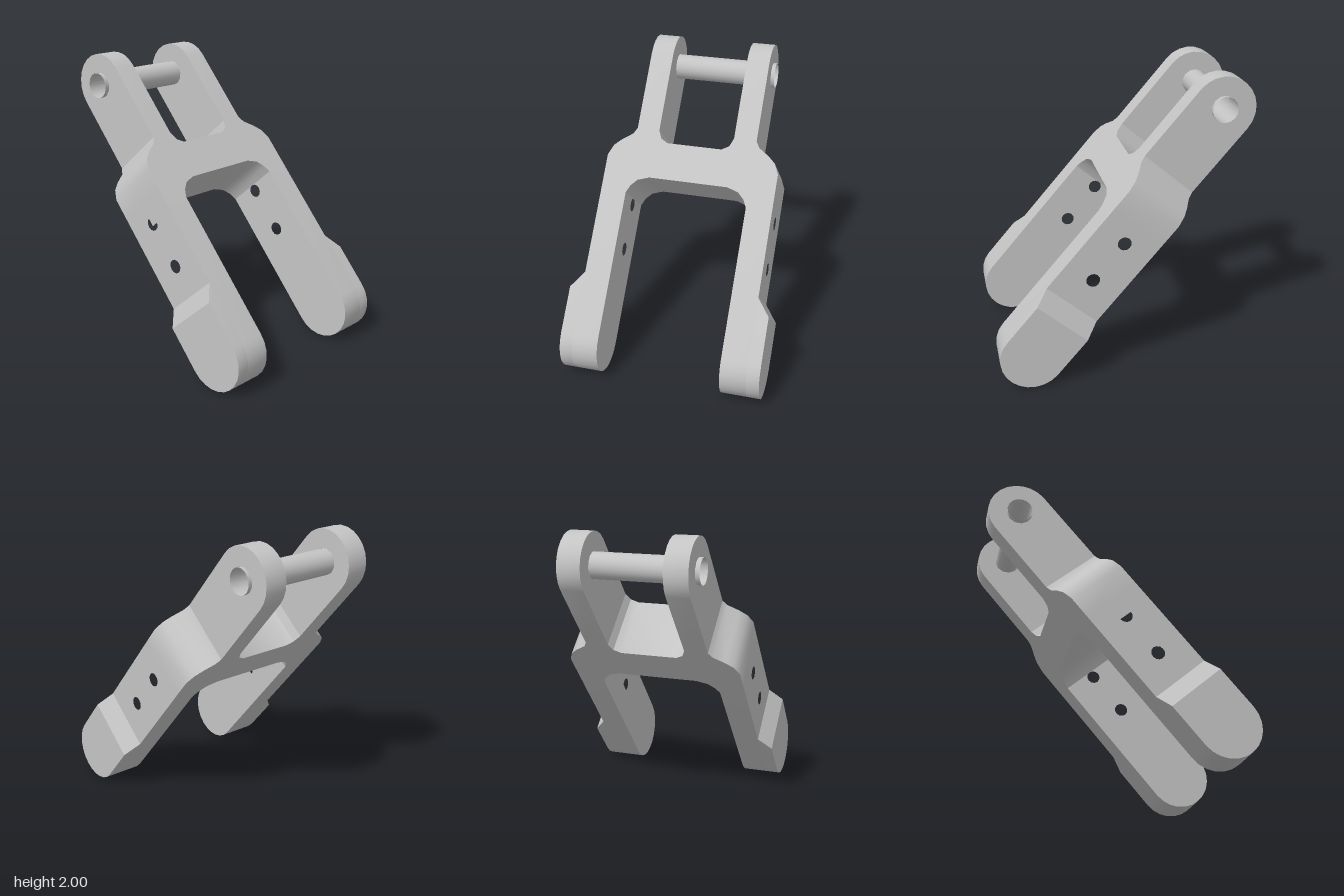
import * as THREE from 'three';
import { toCreasedNormals } from 'three/addons/utils/BufferGeometryUtils.js';

const H = 0.218;      // half thickness and end radius
const END = 1.031;    // distance from the middle to each rounded end's centre
const metal = new THREE.MeshStandardMaterial({ name: 'lightGrey', color: 0xc4c4c4 });
const tubeMetal = metal.clone();
tubeMetal.side = THREE.DoubleSide;

// Upright plate between two x values: flat at one end, round at the other
function plate(x0, x1, flat, end, holes = []) {
  const s = new THREE.Shape();
  s.moveTo(-H, flat);
  s.lineTo(H, flat);
  s.absarc(0, end, H, 0, Math.PI, end < flat);
  s.closePath();
  for (const [y, r] of holes) {
    const hole = new THREE.Path();
    hole.absarc(0, y, r, 0, Math.PI * 2, true);
    s.holes.push(hole);
  }
  const g = new THREE.ExtrudeGeometry(s, { depth: x1 - x0, bevelEnabled: false, curveSegments: 6 });
  return g.rotateY(Math.PI / 2).translate(x0, 0, 0);
}

export function createModel() {
  const model = new THREE.Group();
  model.name = 'clevisFork';
  const fork = new THREE.Group();
  fork.name = 'tiltedFork';
  fork.rotation.x = -Math.atan2(0.672, 0.782);
  fork.position.y = 1;
  model.add(fork);

  const add = (name, geo, mat = metal) => {
    const m = new THREE.Mesh(toCreasedNormals(geo, 0.6), mat);
    m.name = name;
    fork.add(m);
  };

  // Bridge with filleted shoulders, mirrored across x
  const half = [
    [0.28, 0.121], [0.36, 0.095], [0.405, 0.049], [0.43, -0.005], [0.43, 0.1], [0.612, 0.1],
    [0.612, 0.253], [0.58, 0.325], [0.53, 0.372], [0.455, 0.424], [0.43, 0.468],
    [0.27, 0.468], [0.245, 0.411], [0.195, 0.382],
  ];
  const outline = [...half, ...half.map(([x, y]) => [-x, y]).reverse()];
  const shape = new THREE.Shape(outline.map(([x, y]) => new THREE.Vector2(x, y)));
  add('bridge', new THREE.ExtrudeGeometry(shape, { depth: 2 * H, bevelEnabled: false }).translate(0, 0, -H));

  for (const [side, s] of [['left', 1], ['right', -1]]) {
    const span = (a, b) => (s > 0 ? [a, b] : [-b, -a]);

    // Upper lug with the pin hole
    add(side + 'Lug', plate(...span(0.27, 0.43), 0.468, END, [[END, 0.09]]));

    // Lower leg with two bolt holes
    add(side + 'Leg', plate(...span(0.43, 0.612), 0.1, -END, [[-0.05, 0.047], [-0.375, 0.047]]));

    // Thickened foot pad, its outer top edge lowered into a chamfer
    const pad = plate(...span(0.612, 0.7), -0.597, -END);
    const p = pad.attributes.position;
    for (let i = 0; i < p.count; i++) {
      if (Math.abs(p.getX(i)) > 0.69 && p.getY(i) > -0.6) p.setY(i, -0.715);
    }
    add(side + 'FootPad', pad);
  }

  // Hollow cross pin
  const pin = new THREE.CylinderGeometry(0.088, 0.088, 0.915, 16, 1, true);
  add('hollowPin', pin.rotateZ(Math.PI / 2).translate(-0.002, END, 0), tubeMetal);

  return model;
}
